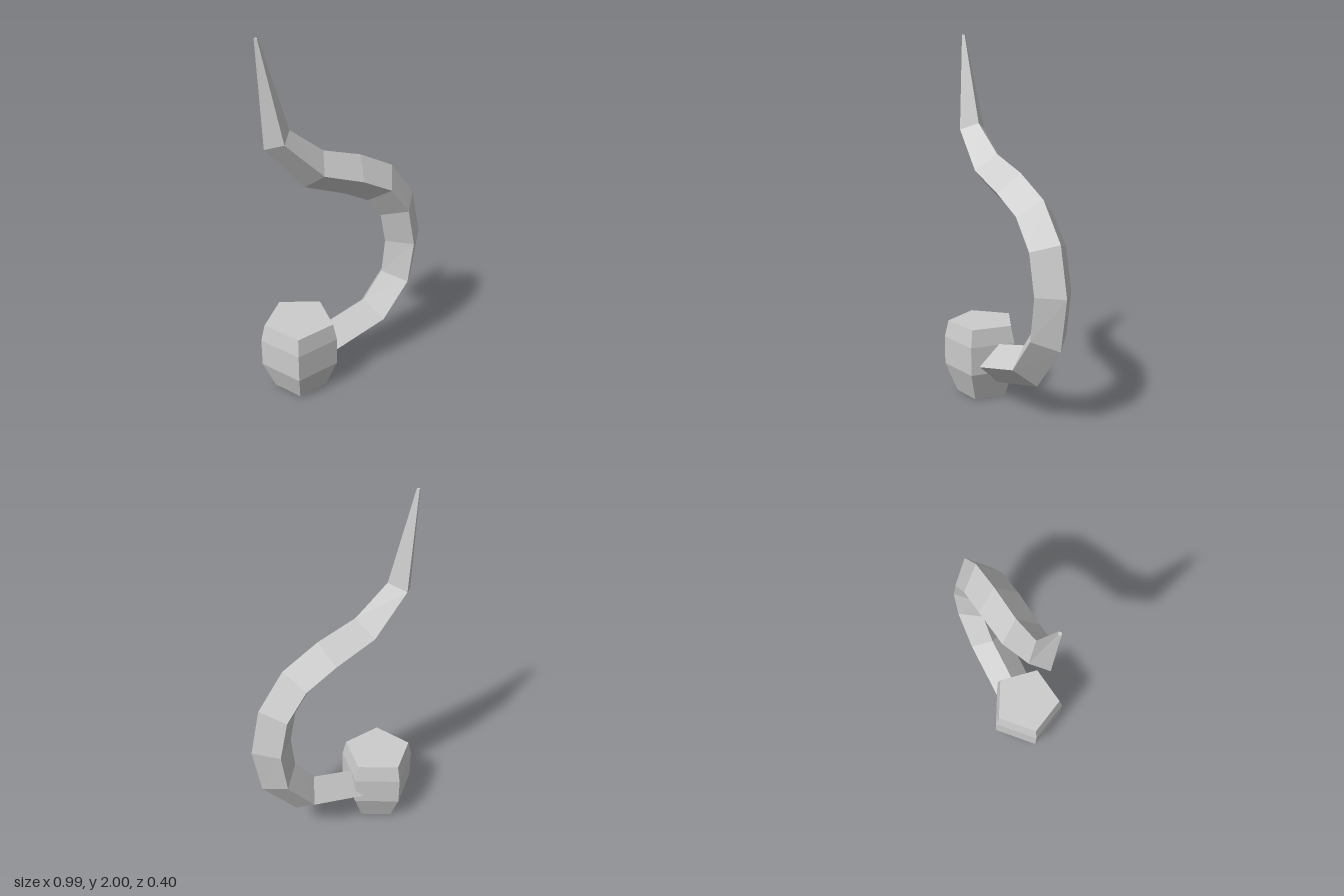
import * as THREE from 'three';

const material = new THREE.MeshStandardMaterial({ color: 0xcccccc, flatShading: true });

// Joins four-sided rings into a closed tube; each ring is [outerX, outerY, innerX, innerY, halfDepth]
function diamondTube(rings, zMid) {
  const positions = [];
  const index = [];
  for (const [ox, oy, ix, iy, half] of rings) {
    const mx = (ox + ix) / 2, my = (oy + iy) / 2;
    positions.push(ox, oy, zMid, mx, my, zMid + half, ix, iy, zMid, mx, my, zMid - half);
  }
  for (let i = 0; i < rings.length - 1; i++) {
    for (let j = 0; j < 4; j++) {
      const a = i * 4 + j, a2 = i * 4 + (j + 1) % 4;
      index.push(a, a + 4, a2, a + 4, a2 + 4, a2);
    }
  }
  // End caps
  const e = (rings.length - 1) * 4;
  index.push(0, 1, 2, 0, 2, 3, e, e + 2, e + 1, e, e + 3, e + 2);
  const geometry = new THREE.BufferGeometry();
  geometry.setAttribute('position', new THREE.Float32BufferAttribute(positions, 3));
  geometry.setIndex(index);
  geometry.computeVertexNormals();
  return geometry;
}

export function createModel() {
  const group = new THREE.Group();

  // Five-sided barrel-shaped base
  const profile = [[0, 0], [0.148, 0], [0.168, 0.05], [0.215, 0.165], [0.215, 0.325], [0.193, 0.42], [0, 0.42]]
    .map(([r, y]) => new THREE.Vector2(r, y));
  const base = new THREE.Mesh(
    new THREE.LatheGeometry(profile, 5, THREE.MathUtils.degToRad(41.5)), material);
  base.position.set(-0.29, 0, 0.005);
  base.name = 'base';
  group.add(base);

  // Curling tail, rooted in the base and tapering to a spike
  const tail = new THREE.Mesh(diamondTube([
    [-0.19, 0.083, -0.25, 0.291, 0.113],
    [0.25, 0.205, 0.13, 0.395, 0.113],
    [0.45, 0.455, 0.245, 0.545, 0.113],
    [0.495, 0.735, 0.265, 0.735, 0.113],
    [0.44, 0.995, 0.23, 0.91, 0.113],
    [0.295, 1.195, 0.145, 1.025, 0.113],
    [0.095, 1.305, 0, 1.105, 0.113],
    [-0.125, 1.38, -0.235, 1.205, 0.104],
    [-0.31, 1.53, -0.45, 1.46, 0.077],
    [-0.45, 2, -0.472, 2, 0.01],
  ], 0.007), material);
  tail.name = 'tail';
  group.add(tail);

  return group;
}
